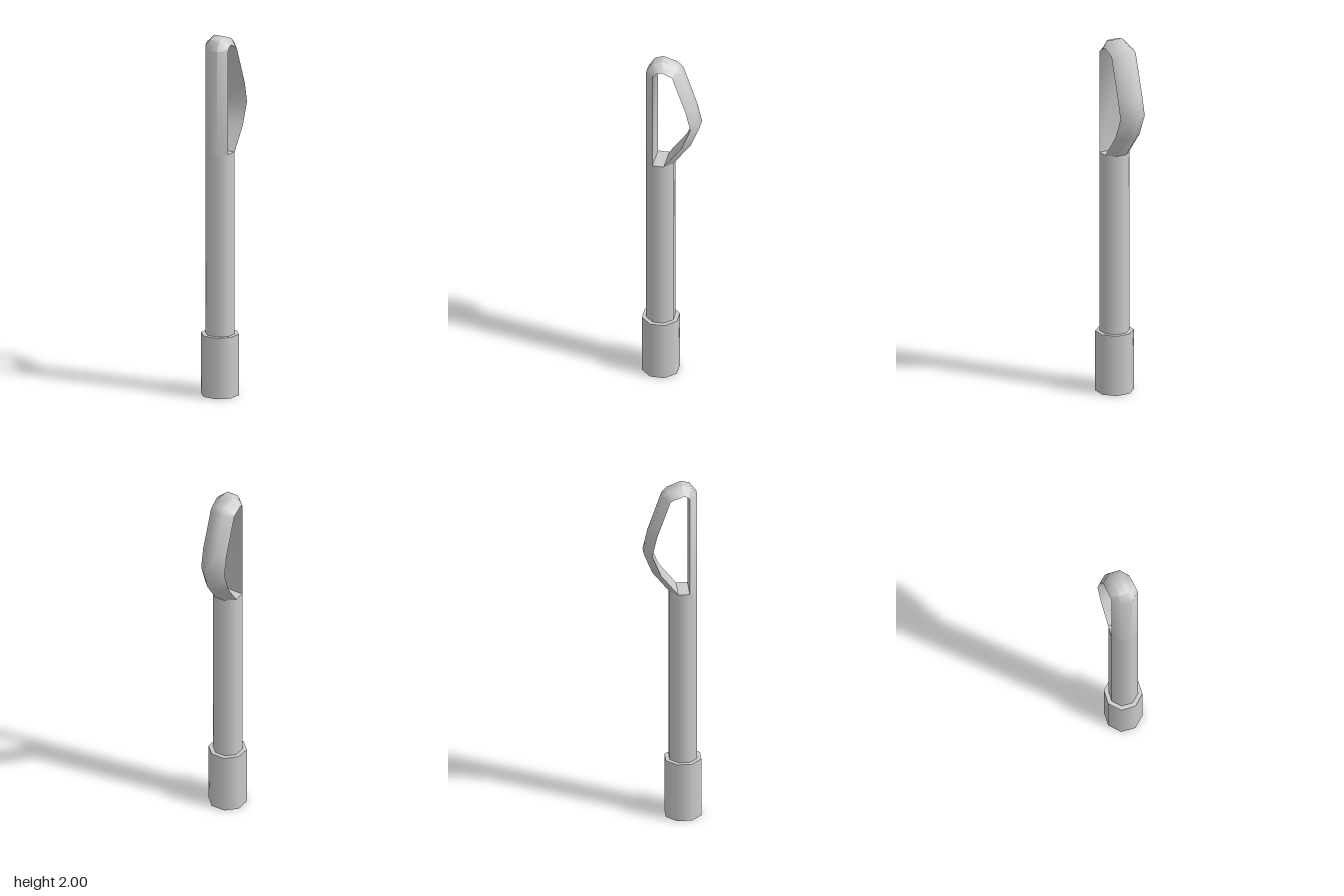
import * as THREE from 'three';
import { toCreasedNormals } from 'three/addons/utils/BufferGeometryUtils.js';

const material = new THREE.MeshStandardMaterial({ color: 0xcccccc });
const AXIS_Z = 0.06;                              // the shaft sits forward of centre
const TURN = THREE.MathUtils.degToRad(16);        // twist of the octagon

function octagonBar(name, radius, y0, y1) {
  const geometry = new THREE.CylinderGeometry(radius, radius, y1 - y0, 8, 1, false, TURN);
  const mesh = new THREE.Mesh(geometry, material);
  mesh.name = name;
  mesh.position.set(0, (y0 + y1) / 2, AXIS_Z);
  return mesh;
}

// Half an octagon as [x, outward distance], at the front and at the back of the loop
const frontProfile = [[0.07, 0.039], [0.022, 0.077], [-0.039, 0.07], [-0.077, 0.022]];
const backProfile = [[0.077, 0.022], [0.039, 0.07], [-0.022, 0.077], [-0.07, 0.039]];

// Stations of the loop: z, y, outward direction (z, y), front-to-back blend, x shift
const stations = [
  [0.06, 1.355, 1, 0, 0, 0],
  [0.06, 1.93, 1, 0, 0, 0],
  [0.054, 1.923, 0.6, 0.8, 0.25, -0.006],
  [0.05, 1.923, 0, 1, 0.5, -0.01],
  [0.012, 1.906, -0.55, 0.83, 0.75, -0.01],
  [0.011, 1.907, -0.9, 0.43, 1, -0.01],
  [-0.058, 1.71, -1, 0, 1, 0],
  [-0.083, 1.6, -1, 0, 1, 0],
  [-0.035, 1.48, -1, 0, 1, 0],
  [0.06, 1.355, -1, 0, 1, 0],
];

// Sweep the half octagon up the front, over the top and down the bulging back
function loopGeometry() {
  const positions = [], index = [];
  const n = frontProfile.length;
  stations.forEach(([z, y, dz, dy, blend, shift], i) => {
    for (let j = 0; j < n; j++) {
      const x = THREE.MathUtils.lerp(frontProfile[j][0], backProfile[j][0], blend) + shift;
      const out = THREE.MathUtils.lerp(frontProfile[j][1], backProfile[j][1], blend);
      positions.push(x, y + dy * out, z + dz * out);
      if (i === stations.length - 1) continue;
      const a = i * n + j, b = i * n + (j + 1) % n;
      index.push(a, a + n, b, b, a + n, b + n);
    }
  });
  const geometry = new THREE.BufferGeometry();
  geometry.setAttribute('position', new THREE.Float32BufferAttribute(positions, 3));
  geometry.setIndex(index);
  return toCreasedNormals(geometry, 1.0);
}

export function createModel() {
  const group = new THREE.Group();
  group.name = 'loopedRod';

  // Thick collar at the foot and the long shaft
  group.add(octagonBar('collar', 0.104, 0, 0.34));
  group.add(octagonBar('shaft', 0.08, 0.3, 1.355));

  // Open eye at the top
  const loop = new THREE.Mesh(loopGeometry(), material);
  loop.name = 'loop';
  group.add(loop);
  return group;
}
